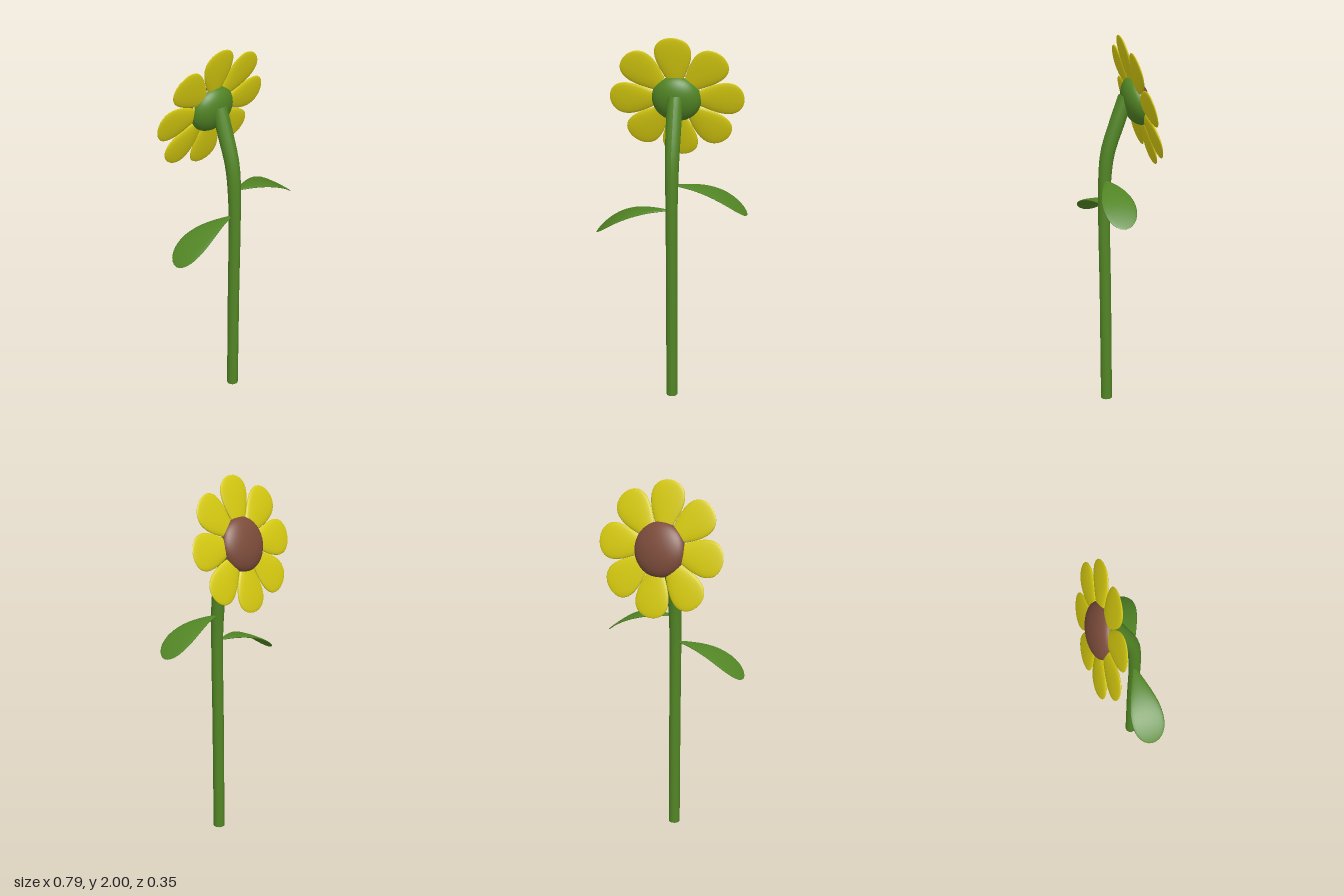
import * as THREE from 'three';
import { mergeVertices } from 'three/addons/utils/BufferGeometryUtils.js';

const material = (name, color) => {
  const m = new THREE.MeshStandardMaterial({ color });
  m.name = name;
  return m;
};

// Move every vertex by a rule, then rebuild smooth normals.
function reshape(geometry, rule) {
  const p = geometry.attributes.position;
  const v = new THREE.Vector3();
  for (let i = 0; i < p.count; i++) {
    v.fromBufferAttribute(p, i);
    rule(v);
    p.setXYZ(i, v.x, v.y, v.z);
  }
  geometry.computeVertexNormals();
  return geometry;
}

// Egg-shaped blade along +y from start to end, wider towards its tip.
function blade(start, end, width, thickness, taper, bend = () => 0) {
  const g = new THREE.SphereGeometry(1, 20, 20);
  g.deleteAttribute('uv');
  g.deleteAttribute('normal');
  return reshape(mergeVertices(g, 1e-5), (v) => {
    v.x *= width * (1 + taper * v.y);
    v.y = start + ((end - start) * (v.y + 1)) / 2;
    v.z = v.z * thickness + bend(v.y);
  });
}

export function createModel() {
  const green = material('leaf green', 0x528525);
  const yellow = material('petal yellow', 0xd8cc10);
  const brown = material('seed brown', 0x7c4c3b);

  const model = new THREE.Group();
  model.name = 'flower';
  const add = (parent, name, geometry, mat) => {
    const mesh = new THREE.Mesh(geometry, mat);
    mesh.name = name;
    parent.add(mesh);
    return mesh;
  };

  // Stem: a cylinder swept along a curve that leans over at the top
  const path = new THREE.CatmullRomCurve3([
    [0, 0.09], [0.6, 0.093], [1.2, 0.096], [1.4, 0.078], [1.55, 0.03], [1.69, -0.02],
  ].map(([y, z]) => new THREE.Vector3(0.004, y, z)));
  const stem = reshape(new THREE.CylinderGeometry(1, 1, 1, 16, 30), (v) => {
    const t = v.y + 0.5;
    const c = path.getPointAt(t);
    const d = t === 0 ? new THREE.Vector3(0, 1, 0) : path.getTangentAt(t);
    const r = 0.031 + 0.009 * THREE.MathUtils.smoothstep(t, 0.6, 0.95);
    v.set(c.x + v.x * r, c.y - v.z * r * d.z, c.z + v.z * r * d.y);
  });
  add(model, 'stem', stem, green);

  // Leaves: drooping blades, the left one higher
  const droop = (y) => -0.14 * Math.pow(Math.max(y, 0) / 0.395, 2.7);
  for (const [name, side, height] of [['leftLeaf', 1, 1.257], ['rightLeaf', -1, 1.115]]) {
    const g = blade(0, 0.395, 0.07, 0.009, 0.8, droop);
    g.rotateX(-Math.PI / 2).rotateY(-side * Math.PI / 2);
    add(model, name, g, green).position.set(0, height, 0.09);
  }

  // Flower head: tilted back, with its face towards -z
  const head = new THREE.Group();
  head.name = 'flowerHead';
  head.position.set(0.004, 1.667, -0.078);
  head.rotation.x = THREE.MathUtils.degToRad(15.5);
  model.add(head);

  const petal = blade(0.05, 0.347, 0.081, 0.014, 0.63);
  for (let i = 0; i < 8; i++) {
    add(head, `petal${i + 1}`, petal, yellow).rotation.z = (i * Math.PI) / 4 + 0.04;
  }

  // Seed disc on the face and green cup on the back
  const dome = new THREE.SphereGeometry(1, 32, 12, 0, Math.PI * 2, 0, Math.PI / 2);
  const seeds = add(head, 'seedDisc', dome, brown);
  seeds.scale.set(0.14, 0.06, 0.14);
  seeds.rotation.x = -Math.PI / 2;
  const cup = add(head, 'sepalCup', dome, green);
  cup.scale.set(0.128, 0.078, 0.128);
  cup.rotation.x = Math.PI / 2;

  return model;
}
